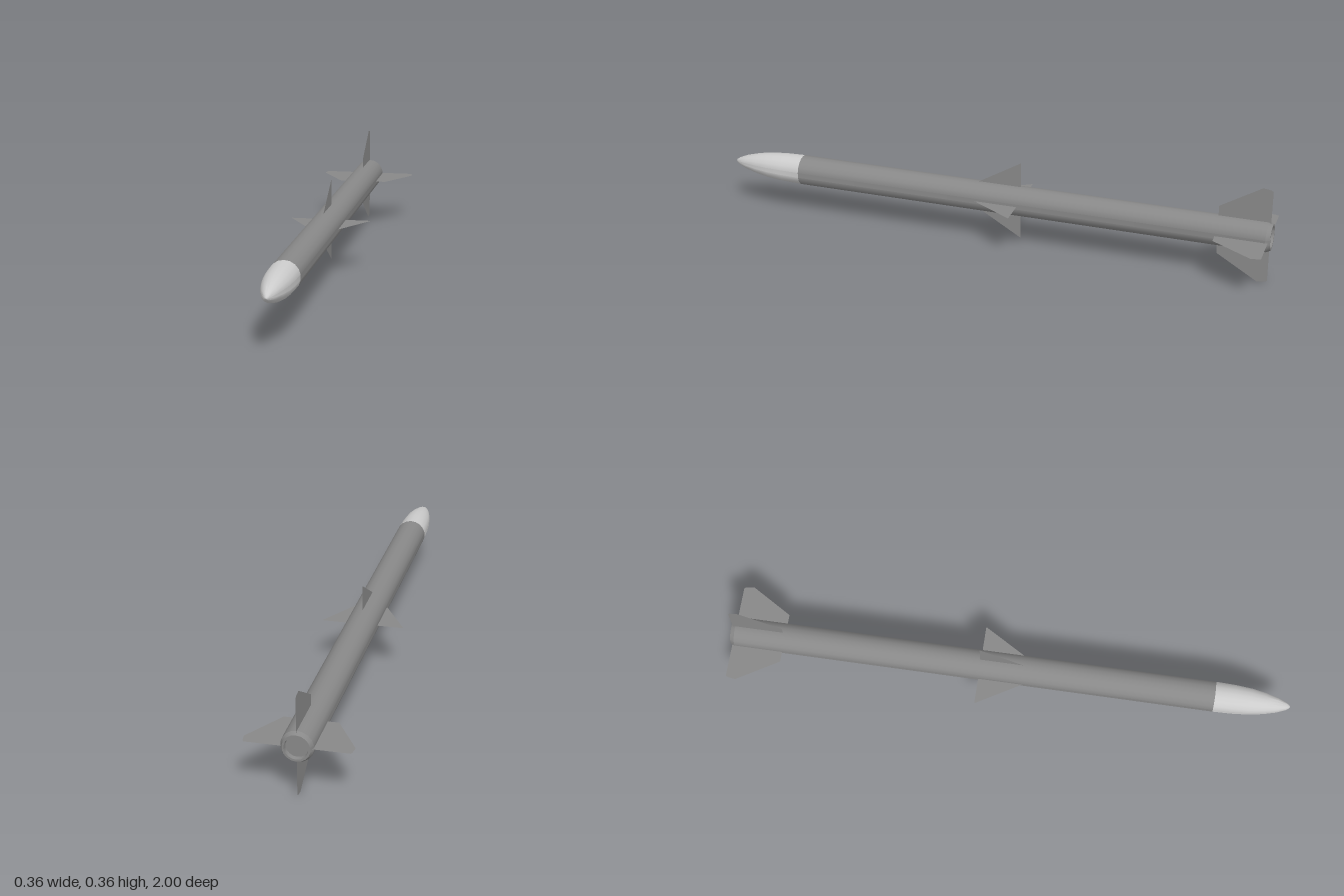
import * as THREE from 'three';
import { toCreasedNormals } from 'three/addons/utils/BufferGeometryUtils.js';

const AXIS_Y = 0.178;
const SIDES = 18;
const R = 0.054;

// Turned part along z from [radius, z] pairs, ordered rear to front
function turned(name, profile, material) {
  const points = profile.map(([r, z]) => new THREE.Vector2(r, z));
  const geometry = new THREE.LatheGeometry(points, SIDES).rotateX(Math.PI / 2);
  const mesh = new THREE.Mesh(toCreasedNormals(geometry, 0.45), material);
  mesh.name = name;
  return mesh;
}

// Four thin fins in a cross, outline given as [z, radius] pairs
function finSet(name, outline, material) {
  const set = new THREE.Group();
  set.name = name + 's';
  const shape = new THREE.Shape(outline.map(([z, r]) => new THREE.Vector2(z, r)));
  const geometry = new THREE.ShapeGeometry(shape).rotateY(-Math.PI / 2);
  for (let i = 0; i < 4; i++) {
    const fin = new THREE.Mesh(geometry, material);
    fin.name = name;
    fin.rotation.z = (i * Math.PI) / 2;
    set.add(fin);
  }
  return set;
}

export function createModel() {
  const model = new THREE.Group();
  model.name = 'finnedRocket';

  const light = new THREE.MeshStandardMaterial({ color: 0xcccccc });
  const dark = new THREE.MeshStandardMaterial({ color: 0x888888 });
  const darkThin = new THREE.MeshStandardMaterial({ color: 0x888888, side: THREE.DoubleSide });

  // Rounded pointed nose
  const nose = turned('nose', [
    [R, 0.73], [0.052, 0.8], [0.047, 0.86], [0.038, 0.91],
    [0.026, 0.955], [0.013, 0.986], [0.006, 0.996], [0, 1],
  ], light);

  // Tube body with a chamfered rear rim and a recessed nozzle disc
  const body = turned('body', [
    [0, -0.985], [0.037, -0.985], [0.039, -1], [0.046, -1],
    [R, -0.985], [R, 0.73],
  ], dark);

  // Triangular wings at the middle, clipped fins at the tail
  const wings = finSet('middleFin', [
    [0.065, 0.045], [-0.105, 0.045], [-0.105, 0.146],
  ], darkThin);
  const tail = finSet('tailFin', [
    [-0.812, 0.045], [-0.993, 0.045], [-0.993, 0.17], [-0.985, 0.174],
    [-0.958, 0.178], [-0.812, 0.09],
  ], darkThin);

  model.add(nose, body, wings, tail);
  model.children.forEach((part) => { part.position.y = AXIS_Y; });
  return model;
}
